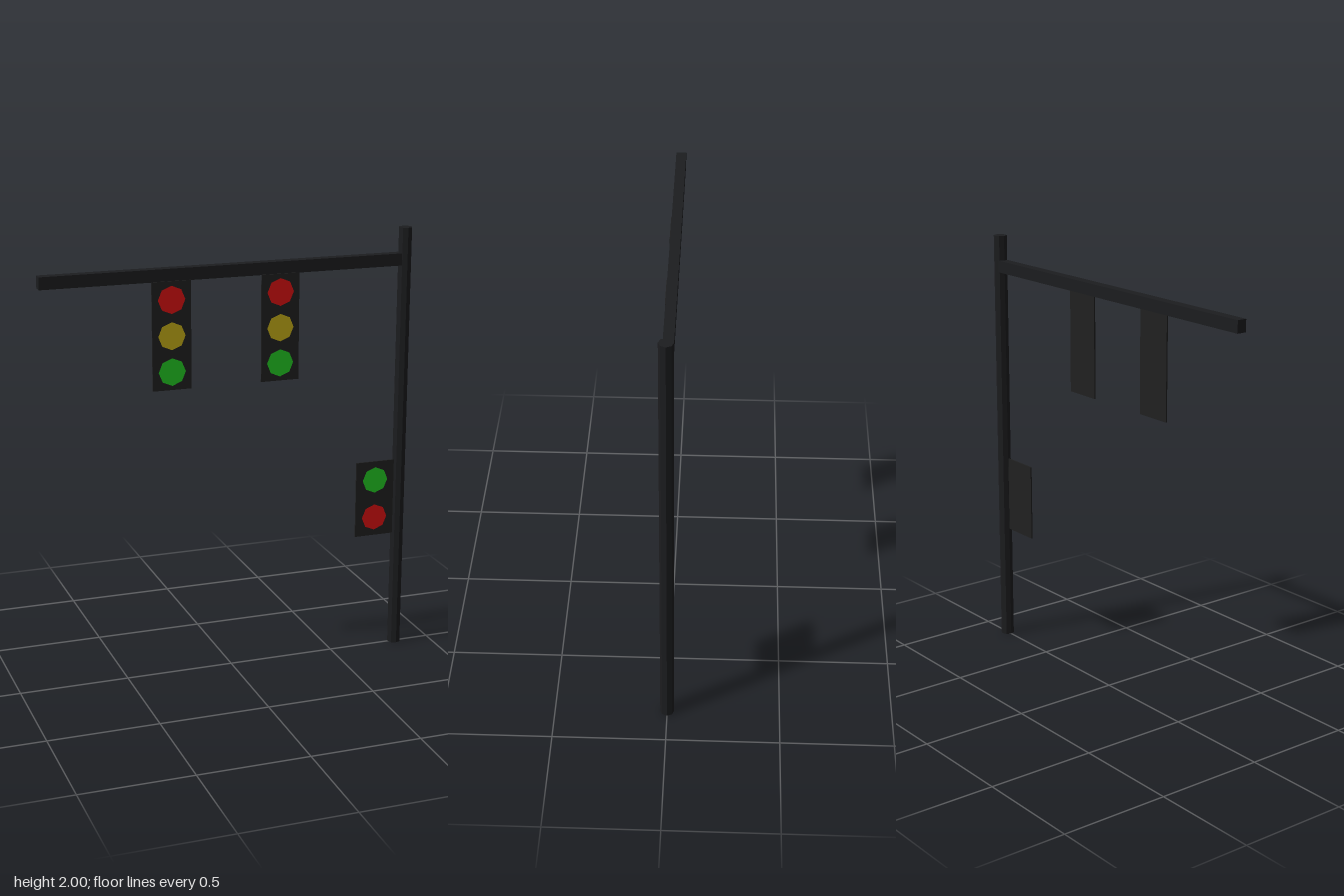
import * as THREE from 'three';

const paint = (color) => new THREE.MeshStandardMaterial({ color, flatShading: true });

export function createModel() {
  const model = new THREE.Group();
  const metal = paint(0x1c1d1f);
  const housing = paint(0x202020);
  const lamps = { red: paint(0xe01212), amber: paint(0xc8b018), green: paint(0x24cc24) };

  const add = (parent, name, geometry, material, x, y, z) => {
    const mesh = new THREE.Mesh(geometry, material);
    mesh.name = name;
    mesh.position.set(x, y, z);
    parent.add(mesh);
    return mesh;
  };

  // Upright pole and the arm reaching over the road
  add(model, 'pole', new THREE.CylinderGeometry(0.031, 0.031, 2, 8), metal, 0.827, 1, 0);
  add(model, 'arm', new THREE.BoxGeometry(1.68, 0.055, 0.045), metal, -0.02, 1.857, -0.002);

  // A thin backing plate with flat eight-sided lamps, listed from top to bottom
  const addSignal = (name, x, y, z, width, height, lampSpacing, colors) => {
    const signal = new THREE.Group();
    signal.name = name;
    signal.position.set(x, y, z);
    const depth = 0.006;
    add(signal, 'plate', new THREE.BoxGeometry(width, height, depth), housing, 0, 0, 0);
    colors.forEach((color, i) => {
      const lampY = ((colors.length - 1) / 2 - i) * lampSpacing;
      add(signal, color + 'Lamp', new THREE.CircleGeometry(0.062, 8), lamps[color],
        0, lampY, depth / 2 + 0.002);
    });
    model.add(signal);
  };

  // Two vehicle signals hang from the arm
  for (const [name, x] of [['rightTrafficSignal', -0.281], ['leftTrafficSignal', 0.221]]) {
    addSignal(name, x, 1.59, 0.023, 0.177, 0.482, 0.16, ['red', 'amber', 'green']);
  }

  // Pedestrian signal on the side of the pole
  addSignal('pedestrianSignal', 0.705, 0.735, 0.005, 0.188, 0.36, 0.182, ['green', 'red']);

  return model;
}
